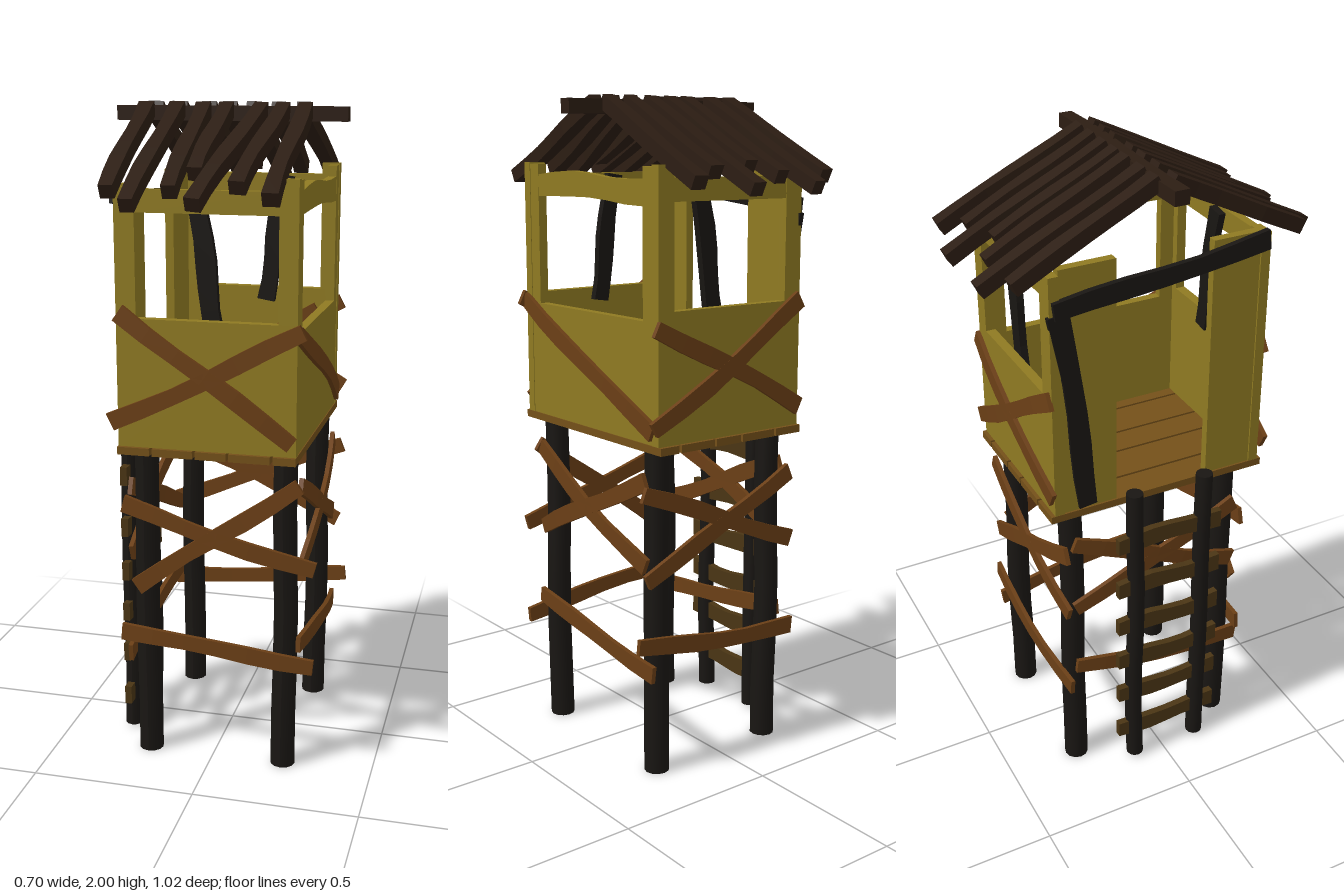
import * as THREE from 'three';

const mat = (color) => new THREE.MeshStandardMaterial({ color, roughness: 1, flatShading: true });
const MATS = {
  wall: mat(0x8f7a22), brace: mat(0x6b3f16), floor: mat(0x745019),
  rung: mat(0x4a3514), roof: mat(0x2c1d13), pole: mat(0x191613),
};
const poleMat = new THREE.MeshStandardMaterial({ color: 0x191613, roughness: 1 });
const V = (x, y, z) => new THREE.Vector3(x, y, z);

export function createModel() {
  const root = new THREE.Group();
  root.name = 'watchtower';

  const group = (name) => {
    const g = new THREE.Group();
    g.name = name;
    root.add(g);
    return g;
  };

  const box = (parent, name, m, x0, x1, y0, y1, z0, z1) => {
    const mesh = new THREE.Mesh(new THREE.BoxGeometry(x1 - x0, y1 - y0, z1 - z0), MATS[m]);
    mesh.position.set((x0 + x1) / 2, (y0 + y1) / 2, (z0 + z1) / 2);
    mesh.name = name;
    parent.add(mesh);
  };

  // Hand-cut board from a to b, facing `normal`, bowed outwards, slightly wavy
  const board = (parent, name, m, a, b, normal, width = 0.05, thick = 0.014, bow = 0.014) => {
    const dir = b.clone().sub(a), len = dir.length();
    dir.normalize();
    const side = normal.clone().cross(dir).normalize();
    const out = dir.clone().cross(side);
    const g = new THREE.BoxGeometry(len, width, thick, 6, 1, 1);
    const p = g.attributes.position;
    for (let i = 0; i < p.count; i++) {
      const t = p.getX(i) / len;
      p.setZ(i, p.getZ(i) + bow * (1 - 4 * t * t));
      p.setY(i, p.getY(i) * (1 + 0.08 * Math.cos(t * 9 + a.x * 7)) + 0.1 * width * Math.sin(t * 6 + a.y * 5));
    }
    const mesh = new THREE.Mesh(g, MATS[m]);
    mesh.quaternion.setFromRotationMatrix(new THREE.Matrix4().makeBasis(dir, side, out));
    mesh.position.copy(a).add(b).multiplyScalar(0.5);
    mesh.name = name;
    parent.add(mesh);
  };

  // Rough log with a little wobble
  const pole = (parent, name, x, z, r, y0, y1) => {
    const g = new THREE.CylinderGeometry(r, r * 1.06, y1 - y0, 12, 6);
    const p = g.attributes.position;
    for (let i = 0; i < p.count; i++) {
      const y = p.getY(i);
      p.setX(i, p.getX(i) + 0.003 * Math.sin(y * 8 + x * 9));
      p.setZ(i, p.getZ(i) + 0.003 * Math.cos(y * 9 + z * 9));
    }
    g.computeVertexNormals();
    const mesh = new THREE.Mesh(g, poleMat);
    mesh.position.set(x, (y0 + y1) / 2, z);
    mesh.name = name;
    parent.add(mesh);
  };

  // Legs
  const legs = group('legs');
  for (const x of [-0.205, 0.225]) for (const z of [0.25, -0.27]) pole(legs, 'leg', x, z, 0.036, 0, 1);

  // Boards on a face: rows of [u0, y0, u1, y1], u being x (front, back) or z (sides)
  const faceBoards = (parent, name, axis, at, rows) => {
    const s = Math.sign(at);
    for (const [u0, y0, u1, y1] of rows) {
      if (axis === 'z') board(parent, name, 'brace', V(u0, y0, at), V(u1, y1, at), V(0, 0, s));
      else board(parent, name, 'brace', V(at, y0, u0), V(at, y1, u1), V(s, 0, 0));
    }
  };

  // Braces between the legs
  const braces = group('legBraces');
  faceBoards(braces, 'frontBrace', 'z', 0.288, [
    [-0.23, 0.56, 0.27, 0.92], [-0.27, 0.82, 0.32, 0.66], [-0.28, 0.41, 0.32, 0.355]]);
  faceBoards(braces, 'backBrace', 'z', -0.308, [
    [-0.27, 0.65, 0.3, 0.88], [-0.26, 0.87, 0.29, 0.62], [-0.28, 0.355, 0.32, 0.42]]);
  faceBoards(braces, 'leftBrace', 'x', 0.272, [
    [0.27, 0.91, -0.28, 0.65], [0.26, 0.65, -0.28, 0.91], [0.28, 0.42, -0.32, 0.335]]);
  faceBoards(braces, 'rightBrace', 'x', -0.25, [
    [0.27, 0.88, -0.28, 0.65], [0.27, 0.66, -0.28, 0.89], [0.3, 0.335, -0.28, 0.41]]);

  // Ladder
  const ladder = group('ladder');
  for (const z of [0.13, -0.1]) pole(ladder, 'ladderRail', -0.3, z, 0.026, 0.01, 1.05);
  for (const y of [0.13, 0.28, 0.42, 0.56, 0.71, 0.88])
    board(ladder, 'rung', 'rung', V(-0.3, y, 0.19), V(-0.3, y, -0.16), V(-1, 0, 0), 0.055, 0.022, 0);

  // Floor planks
  const floor = group('floor');
  const seams = [-0.265, -0.16, -0.03, 0.07, 0.2, 0.275];
  for (let i = 0; i < 5; i++)
    box(floor, 'floorPlank', 'floor', seams[i] + 0.004, seams[i + 1] - 0.004, 0.997, 1.02, -0.352, 0.352);

  // Front and back walls: panel, corner posts, top rail, leaning centre strut
  const walls = group('walls');
  for (const s of [1, -1]) {
    const z0 = s > 0 ? 0.31 : -0.34, z1 = z0 + 0.03;
    box(walls, 'lowerPanel', 'wall', -0.26, 0.27, 1.02, 1.4, z0, z1);
    box(walls, 'cornerPost', 'wall', -0.26, -0.2, 1.4, 1.77, z0, z1);
    box(walls, 'cornerPost', 'wall', 0.215, 0.27, 1.4, 1.8, z0, z1);
    box(walls, 'topRail', 'wall', -0.2, 0.215, 1.7, 1.765, z0 + 0.002, z1 - 0.002);
    const top = s > 0 ? -0.035 : 0.1, low = s > 0 ? 0.025 : 0.035;
    board(walls, 'strut', 'pole', V(top, 1.76, s * 0.298), V(low, 1.36, s * 0.298), V(0, 0, s), 0.055, 0.022, 0);
  }

  // Left wall with a wide window
  box(walls, 'leftPanel', 'wall', 0.24, 0.268, 1.02, 1.37, -0.31, 0.31);
  for (const s of [1, -1]) box(walls, 'leftPost', 'wall', 0.24, 0.268, 1.37, 1.795, s > 0 ? 0.265 : -0.31, s > 0 ? 0.31 : -0.265);
  board(walls, 'leftTopRail', 'wall', V(0.254, 1.735, 0.27), V(0.254, 1.73, -0.27), V(1, 0, 0), 0.07, 0.026, 0);

  // Right wall with the doorway
  box(walls, 'doorPanel', 'wall', -0.255, -0.228, 1.02, 1.775, 0.16, 0.31);
  box(walls, 'doorPanel', 'wall', -0.255, -0.228, 1.02, 1.785, -0.31, -0.14);
  board(walls, 'doorLintel', 'pole', V(-0.265, 1.75, 0.33), V(-0.265, 1.67, -0.33), V(-1, 0, 0), 0.055, 0.018, 0);
  board(walls, 'doorBrace', 'pole', V(-0.257, 1.66, -0.31), V(-0.257, 1.03, -0.23), V(-1, 0, 0), 0.06, 0.016, 0);

  // Boards nailed over the walls
  const cladding = group('wallBoards');
  faceBoards(cladding, 'frontBoard', 'z', 0.345, [[-0.25, 1.42, 0.26, 1.06], [-0.28, 1.09, 0.29, 1.38]]);
  faceBoards(cladding, 'backBoard', 'z', -0.345, [[-0.26, 1.08, 0.28, 1.36], [-0.26, 1.4, 0.29, 1.07]]);
  faceBoards(cladding, 'leftBoard', 'x', 0.275, [[0.34, 1.38, -0.32, 1.06]]);
  board(cladding, 'innerBoard', 'brace', V(-0.2, 1.08, -0.303), V(0.21, 1.33, -0.303), V(0, 0, 1), 0.05, 0.014, 0);

  // Roof: ridge beam and uneven slats [x at ridge, x at eave, eave z]
  const roof = group('roof');
  board(roof, 'ridgeBeam', 'roof', V(-0.35, 1.96, 0.003), V(0.345, 1.96, -0.003), V(0, 1, 0), 0.042, 0.042, 0);
  const slats = [
    [-0.26, -0.245, 0.44], [-0.165, -0.17, 0.5], [-0.085, -0.07, 0.435], [-0.015, -0.02, 0.35],
    [0.09, 0.01, 0.49], [0.155, 0.112, 0.41], [0.22, 0.215, 0.46],
    [-0.24, -0.255, -0.44], [-0.165, -0.17, -0.5], [-0.075, -0.085, -0.44], [-0.012, -0.015, -0.385],
    [0.06, 0.055, -0.5], [0.135, 0.13, -0.41], [0.21, 0.225, -0.46]];
  for (const [x0, x1, z] of slats) {
    const s = Math.sign(z);
    board(roof, 'roofSlat', 'roof', V(x0, 1.975, s * 0.015), V(x1, 1.975 - 0.495 * (Math.abs(z) - 0.015), z),
      V(0, 0.9, s * 0.44), 0.044, 0.042, 0);
  }
  return root;
}
